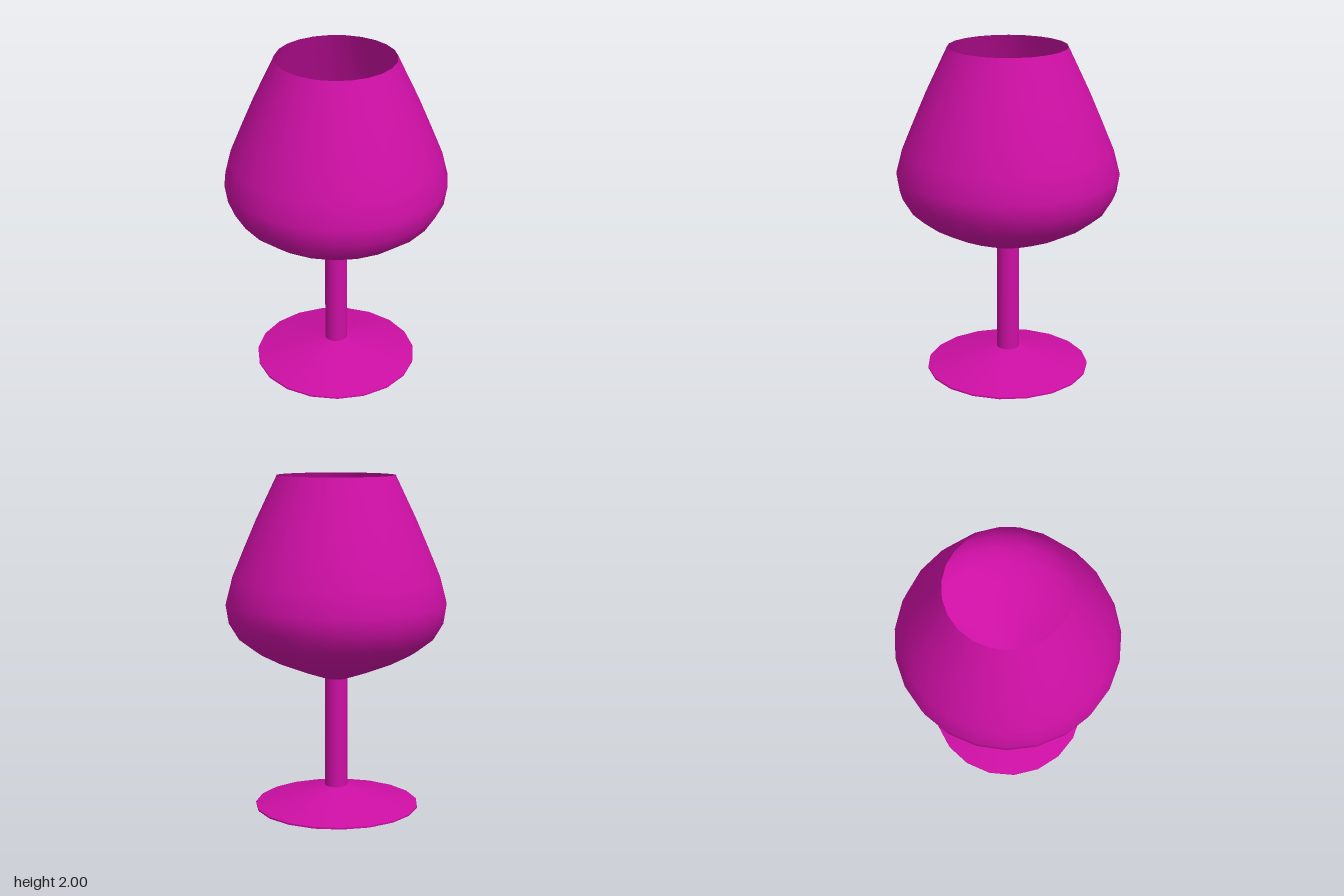
import * as THREE from 'three';

export function createModel() {
  const group = new THREE.Group();
  const material = new THREE.MeshStandardMaterial({ color: 0xcc0fa3, side: THREE.DoubleSide });

  const add = (name, geometry, y = 0, z = 0) => {
    const mesh = new THREE.Mesh(geometry, material);
    mesh.name = name;
    mesh.position.set(0, y, z);
    group.add(mesh);
    return mesh;
  };

  // Thin open bowl, widest low down and narrowing to the rim
  const bowlProfile = [
    [0.068, 0.79], [0.2, 0.836], [0.36, 0.9], [0.485, 0.965], [0.583, 1.04], [0.643, 1.14],
    [0.66, 1.25], [0.622, 1.395], [0.553, 1.56], [0.475, 1.74], [0.35, 2],
  ].map(([r, y]) => new THREE.Vector2(r, y));
  add('bowl', new THREE.LatheGeometry(bowlProfile, 23, -Math.PI / 2));

  // Small flat floor inside the bowl
  add('bowlFloor', new THREE.CircleGeometry(0.1, 40).rotateX(-Math.PI / 2), 0.806, 0.012);

  // Round stem
  add('stem', new THREE.CylinderGeometry(0.068, 0.068, 0.69, 32, 1, true), 0.455);

  // Shallow conical foot with a thin edge and a flat underside
  add('footTop', new THREE.CylinderGeometry(0.066, 0.495, 0.115, 19, 1, true), 0.0675, 0.005);
  add('footEdge', new THREE.CylinderGeometry(0.495, 0.495, 0.01, 19, 1, true), 0.005, 0.005);
  // Turned so its corners line up with the edge above
  add('footBottom', new THREE.CircleGeometry(0.495, 19, -Math.PI / 2).rotateX(Math.PI / 2), 0, 0.005)
    .rotation.y = Math.PI;

  return group;
}
